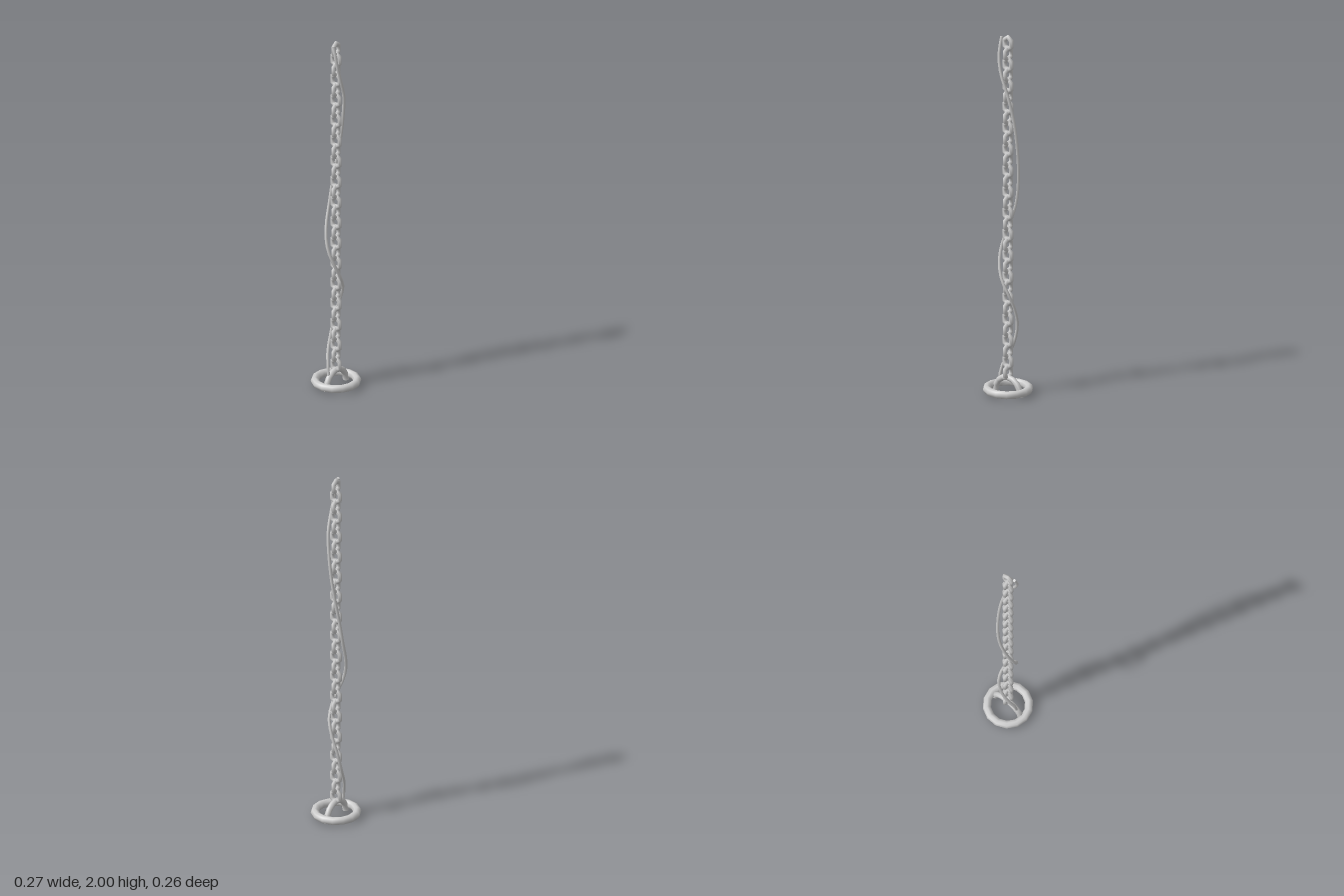
import * as THREE from 'three';

export function createModel() {
  const group = new THREE.Group();
  const material = new THREE.MeshStandardMaterial({ color: 0xcccccc });

  function add(name, geometry, y = 0) {
    const mesh = new THREE.Mesh(geometry, material);
    mesh.name = name;
    mesh.position.y = y;
    group.add(mesh);
    return mesh;
  }

  // Flat pull ring at the bottom
  add('pullRing', new THREE.TorusGeometry(0.112, 0.022, 8, 14).rotateX(Math.PI / 2), 0.028);

  // Arched bail across the ring, with closed ends
  add('bail', new THREE.TorusGeometry(0.09, 0.0165, 8, 8, Math.PI));
  for (const side of [-1, 1]) {
    const cap = add('bailEnd', new THREE.CircleGeometry(0.0165, 8).rotateX(Math.PI / 2));
    cap.position.x = side * 0.09;
  }

  // Chain of stretched six-sided links, each turned a quarter from the last
  const linkCount = 32;
  const firstY = 0.119;
  const lastY = 1.952;
  const link = new THREE.TorusGeometry(0.027, 0.0122, 8, 6)
    .rotateZ(Math.PI / 2)
    .scale(1, 1.22, 1);
  for (let i = 0; i < linkCount; i++) {
    const y = firstY + (lastY - firstY) * i / (linkCount - 1);
    const mesh = add('chainLink', link, y);
    if (i % 2 === 0) mesh.rotation.y = Math.PI / 2;
  }

  // Loose cord winding round the chain
  const cordPath = new THREE.CatmullRomCurve3([
    [-0.036, 1.985, 0.01], [-0.037, 1.89, 0.03], [-0.015, 1.79, 0.04],
    [0.025, 1.68, 0.033], [0.047, 1.55, 0.012], [0.053, 1.42, -0.008],
    [0.046, 1.28, -0.03], [0.03, 1.15, -0.046], [0.009, 1.04, -0.05],
    [-0.025, 0.94, -0.044], [-0.05, 0.86, -0.028], [-0.058, 0.79, -0.006],
    [-0.045, 0.72, 0.02], [-0.012, 0.64, 0.037], [0.024, 0.57, 0.028],
    [0.041, 0.49, -0.002], [0.036, 0.39, -0.034], [0.007, 0.28, -0.041],
    [-0.03, 0.2, -0.032], [-0.057, 0.13, -0.012], [-0.063, 0.055, 0],
  ].map(p => new THREE.Vector3(...p)));
  add('cord', new THREE.TubeGeometry(cordPath, 44, 0.0085, 6));

  // Cord ends
  for (const t of [0, 1]) {
    const end = add('cordEnd', new THREE.CircleGeometry(0.0085, 6));
    end.position.copy(cordPath.getPointAt(t));
    const outward = cordPath.getTangentAt(t).multiplyScalar(t ? 1 : -1);
    end.quaternion.setFromUnitVectors(new THREE.Vector3(0, 0, 1), outward);
  }

  return group;
}
